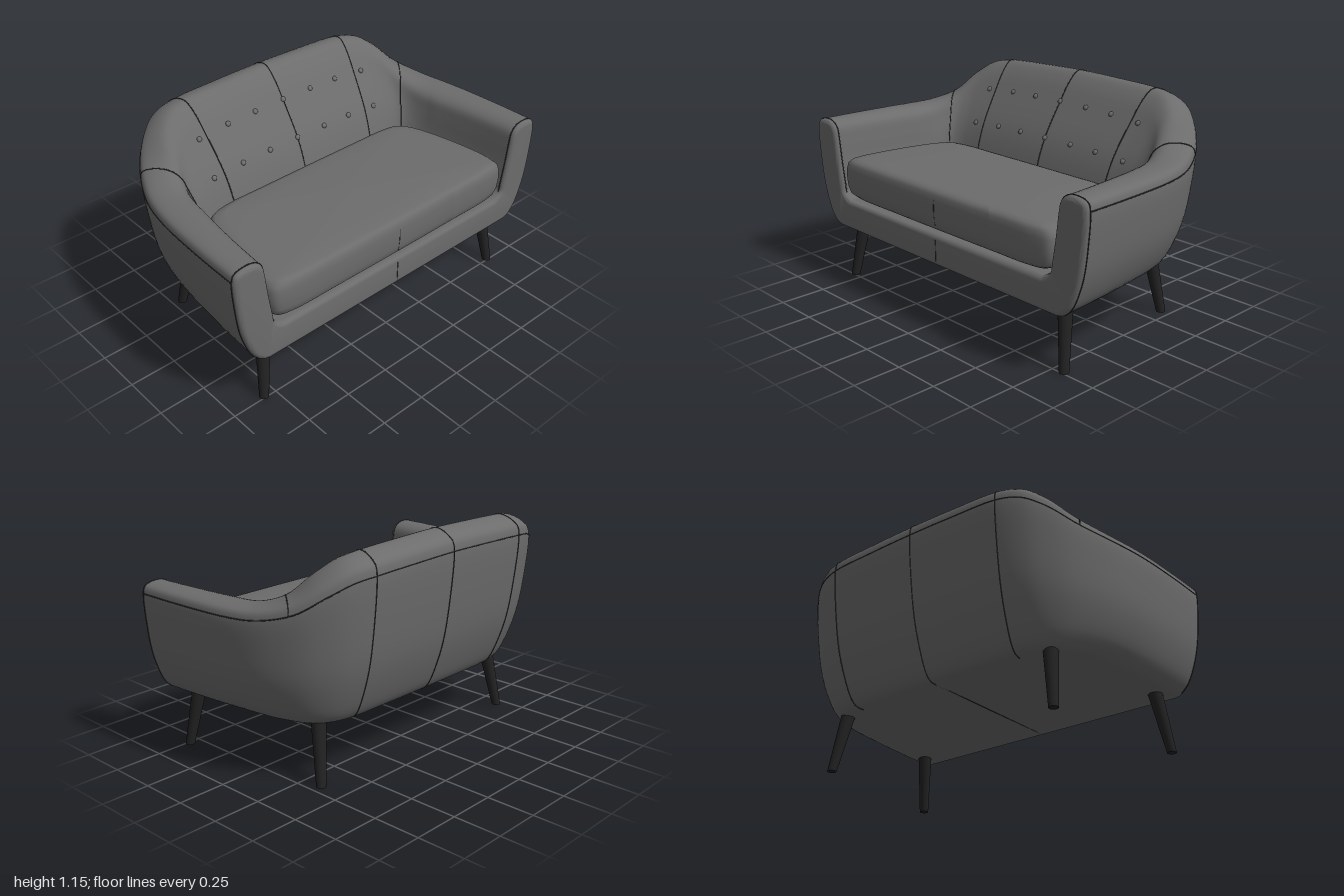
import * as THREE from 'three';
import { toCreasedNormals } from 'three/addons/utils/BufferGeometryUtils.js';

const V2 = (a) => new THREE.Vector2(a[0], a[1]);

// Cross-sections of arm and back: [0 = inner foot .. 1 = outer face, height]
const armProfile = new THREE.SplineCurve([
  [0.15, 0.305], [0.36, 0.32], [0.62, 0.385], [0.86, 0.53], [0.97, 0.70], [1, 0.835], [0.88, 0.88],
  [0.5, 0.888], [0.24, 0.855], [0.16, 0.78], [0.1, 0.68], [0, 0.55], [-0.05, 0.5], [-0.3, 0.47],
].map(V2));
const backProfile = new THREE.SplineCurve([
  [0.5, 0.30], [0.62, 0.312], [0.73, 0.39], [0.87, 0.58], [0.95, 0.80], [0.995, 1.05], [0.92, 1.12],
  [0.73, 1.15], [0.58, 1.10], [0.42, 1.0], [0.17, 0.82], [0.03, 0.65], [-0.03, 0.5], [-0.1, 0.47],
].map(V2));
const LAST = 13;

// Stations from arm front to middle of back: outer x, z, inner x, z, blend arm to back, centre z
const half = [
  [1.0, 0.54, 0.79, 0.54, 0, 0.54],
  [0.995, 0.3, 0.765, 0.3, 0, 0.3],
  [0.975, 0, 0.725, 0.05, 0, 0.05],
  [0.94, -0.18, 0.70, -0.03, 0.03, -0.03],
  [0.87, -0.345, 0.665, -0.085, 0.2, -0.07],
  [0.76, -0.48, 0.62, -0.11, 0.62, -0.08],
  [0.65, -0.545, 0.55, -0.12, 0.87, -0.09],
  [0.54, -0.57, 0.47, -0.12, 0.94, -0.095],
  [0.27, -0.575, 0.25, -0.12, 0.98, -0.1],
  [0, -0.575, 0, -0.12, 1, -0.1],
];
const stations = [...half, ...half.slice(0, -1).reverse().map(([a, b, c, d, e, f]) => [-a, b, -c, d, e, f])];
const SPANS = stations.length - 1;
const outerPath = new THREE.CatmullRomCurve3(stations.map((s) => new THREE.Vector3(s[0], s[4], s[1])));
const innerPath = new THREE.CatmullRomCurve3(stations.map((s) => new THREE.Vector3(s[2], s[5], s[3])));

// Point on the upholstered shell at station s (0..18) and profile position p (0..13)
function shellPoint(s, p, lift = 0) {
  const o = outerPath.getPoint(s / SPANS), i = innerPath.getPoint(s / SPANS);
  const b = THREE.MathUtils.clamp(o.y, 0, 1);
  const a = armProfile.getPoint(p / LAST), k = backProfile.getPoint(p / LAST);
  const u = THREE.MathUtils.lerp(a.x, k.x, Math.sqrt(b));
  return new THREE.Vector3(i.x + (o.x - i.x) * u, THREE.MathUtils.lerp(a.y, k.y, b) + lift, i.z + (o.z - i.z) * u);
}

// Smooth surface through rows of points
function loft(rows) {
  const n = rows[0].length, index = [];
  for (let r = 0; r < rows.length - 1; r++) {
    for (let c = 0; c < n - 1; c++) {
      const a = r * n + c, b = a + n;
      index.push(a, b, a + 1, b, b + 1, a + 1);
    }
  }
  const g = new THREE.BufferGeometry().setFromPoints(rows.flat());
  g.setIndex(index);
  g.computeVertexNormals();
  return g;
}

export function createModel() {
  const model = new THREE.Group();
  model.name = 'sofa';
  const paint = (name, color) => {
    const m = new THREE.MeshStandardMaterial({ color });
    m.name = name;
    return m;
  };
  const fabric = paint('grey fabric', 0x6c6c6c);
  const thread = paint('dark seam', 0x333333);
  const wood = paint('black wood', 0x222222);
  fabric.side = THREE.DoubleSide;
  const add = (name, geometry, material) => {
    const m = new THREE.Mesh(geometry, material);
    m.name = name;
    model.add(m);
    return m;
  };

  // Arms, back, underside and seat deck in one wrapped shell
  const rows = [];
  for (let j = 0; j <= SPANS * 5; j++) {
    const s = j / 5, cz = innerPath.getPoint(s / SPANS).y;
    const row = [new THREE.Vector3(0, 0.303, cz)];
    for (let q = 0; q <= LAST * 4; q++) row.push(shellPoint(s, q / 4));
    row.push(new THREE.Vector3(0, 0.47, cz));
    rows.push(row);
  }
  add('shell', loft(rows), fabric);

  // Padded front frame with rounded edge
  const side = [];
  for (let q = 0; q <= LAST * 3; q++) side.push(shellPoint(0, q / 3));
  const outline = [
    ...side.map((v) => new THREE.Vector2(v.x, v.y)),
    ...side.map((v) => new THREE.Vector2(-v.x, v.y)).reverse(),
  ];
  const frame = new THREE.ExtrudeGeometry(new THREE.Shape(outline), {
    depth: 0.005, bevelSize: 0.025, bevelThickness: 0.025, bevelOffset: -0.025, bevelSegments: 5,
  });
  frame.translate(0, 0, 0.535);
  add('frontFrame', toCreasedNormals(frame, 0.7), fabric);

  // Seat cushion: plan outline scaled through rounded rings
  const right = [[0.4, 0.568], [0.7, 0.562], [0.77, 0.54], [0.79, 0.47], [0.765, 0.2],
    [0.71, -0.02], [0.66, -0.095], [0.57, -0.12], [0.3, -0.125]];
  const plan = new THREE.CatmullRomCurve3(
    [...right, ...right.map(([x, z]) => [-x, z]).reverse()].map(([x, z]) => new THREE.Vector3(x, 0, z)), true);
  const planPoints = plan.getPoints(108);
  const rings = [[0, 0.485], [0.6, 0.485], [0.93, 0.492], [0.975, 0.51], [0.993, 0.545], [1, 0.595],
    [0.997, 0.645], [0.985, 0.675], [0.955, 0.695], [0.88, 0.703], [0.6, 0.71], [0, 0.713]];
  const cushionRows = rings.map(([k, y]) =>
    planPoints.map((v) => new THREE.Vector3(v.x * k, y, 0.22 + (v.z - 0.22) * k)));
  add('seatCushion', loft(cushionRows.reverse()), fabric);

  // Seams
  const seam = (name, points) => add(name,
    new THREE.TubeGeometry(new THREE.CatmullRomCurve3(points), points.length * 2, 0.003, 5), thread);
  const across = (s, from, to) => {
    const pts = [];
    for (let p = from; p <= to; p += 0.25) pts.push(shellPoint(s, p));
    return pts;
  };
  for (const s of [7, 9, 11]) seam('backSeam', across(s, 0, 12));
  for (const s of [4, 14]) seam('armSeam', across(s, 5, 12));
  for (const s of [0, SPANS]) seam('frontSeam', across(s, 1, 12));
  const rim = [];
  for (let s = 0; s <= SPANS; s += 0.2) rim.push(shellPoint(s, 5));
  seam('rimSeam', rim);
  const line = (name, list) => seam(name, list.map((a) => new THREE.Vector3(...a)));
  line('undersideSeam', [[0, 0.303, -0.35], [0, 0.303, 0.1], [0, 0.305, 0.53]]);
  line('baseSeam', [[0, 0.33, 0.564], [0, 0.39, 0.564], [0, 0.445, 0.564]]);
  line('cushionSeam', [[0, 0.52, 0.562], [0, 0.59, 0.568], [0, 0.65, 0.566]]);

  // Two rows of tufting buttons, placed on the back by their x
  for (const p of [9, 10]) {
    for (const x of [-0.545, -0.36, -0.185, 0, 0.185, 0.36, 0.545]) {
      let lo = 5, hi = 13;
      for (let n = 0; n < 30; n++) {
        const mid = (lo + hi) / 2;
        if (shellPoint(mid, p).x > x) lo = mid; else hi = mid;
      }
      const button = add('button', new THREE.SphereGeometry(0.014, 14, 10), fabric);
      button.position.copy(shellPoint(lo, p, 0.003));
      button.scale.z = 0.65;
      button.rotation.x = -0.55;
    }
  }

  // Splayed tapered legs, sheared so the feet stay level
  const H = 0.33;
  for (const m of [1, -1]) {
    for (const [name, tx, tz, bx, bz] of [
      ['frontLeg', 0.768, 0.436, 0.812, 0.487], ['rearLeg', 0.652, -0.3, 0.697, -0.357]]) {
      const g = new THREE.CylinderGeometry(0.038, 0.024, H, 24);
      g.translate(0, H / 2, 0);
      g.applyMatrix4(new THREE.Matrix4().set(
        1, m * (tx - bx) / H, 0, m * bx,
        0, 1, 0, 0,
        0, (tz - bz) / H, 1, bz,
        0, 0, 0, 1));
      add(name, g, wood);
    }
  }
  return model;
}
